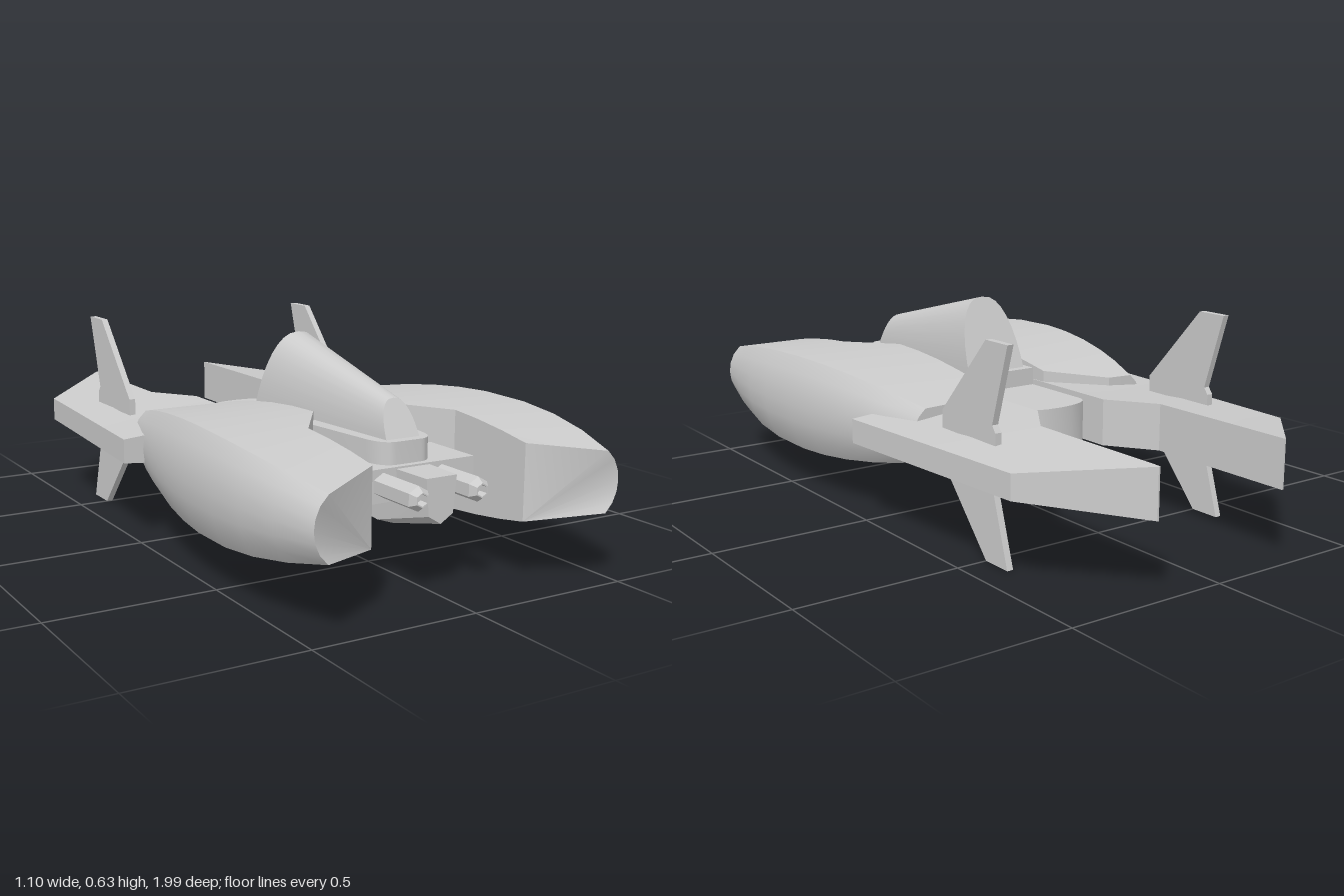
import * as THREE from 'three';
import { toCreasedNormals } from 'three/addons/utils/BufferGeometryUtils.js';

const material = new THREE.MeshStandardMaterial({ color: 0xcccccc });
const MID = 0.29; // height of the craft's centre plane

function add(parent, name, geometry, crease = 0.5) {
  const mesh = new THREE.Mesh(toCreasedNormals(geometry, crease), material);
  mesh.name = name;
  parent.add(mesh);
  return mesh;
}

// Skin a list of equal-length convex rings of [x, y, z] and cap both ends.
function loft(rings) {
  const n = rings[0].length;
  const points = rings.flat().map((p) => new THREE.Vector3(...p));
  const index = [];
  for (let i = 0; i < rings.length - 1; i++) {
    for (let j = 0; j < n; j++) {
      const a = i * n + j, b = i * n + (j + 1) % n;
      index.push(a, b, a + n, b, b + n, a + n);
    }
  }
  const last = (rings.length - 1) * n;
  for (let j = 1; j < n - 1; j++) {
    index.push(0, j + 1, j, last, last + j, last + j + 1);
  }
  // Turn the faces outward whichever way the rings run.
  let volume = 0;
  const cross = new THREE.Vector3();
  for (let k = 0; k < index.length; k += 3) {
    cross.crossVectors(points[index[k + 1]], points[index[k + 2]]);
    volume += points[index[k]].dot(cross);
  }
  if (volume < 0) index.reverse();
  const geometry = new THREE.BufferGeometry().setFromPoints(points);
  geometry.setIndex(index);
  return geometry.toNonIndexed();
}

// Extrude a plan outline of [x, z] between two heights.
function plate(shape, y0, y1) {
  const geometry = new THREE.ExtrudeGeometry(shape, { depth: y1 - y0, bevelEnabled: false, curveSegments: 8 });
  return geometry.rotateX(Math.PI / 2).translate(0, y1, 0);
}

// Bulging side pod: flat inside, rounded outside, swept front face.
function podGeometry(s) {
  const half = (z) => 0.153 - 0.2 * (z - 0.42) ** 2;
  const outerX = (z) => 0.55 - (z > 0.57 ? 0.34 : 0.2) * (z - 0.57) ** 2;
  const bulge = [[1, 0], [0.7, 0.58], [0.35, 0.9], [0, 1], [-0.35, 0.9], [-0.7, 0.58], [-1, 0]];
  // inner x, inner z, outer z
  const stations = [
    [0.25, 0.88, 0.99], [0.25, 0.78, 0.85], [0.25, 0.67, 0.71], [0.25, 0.57, 0.57], [0.13, 0.4, 0.4],
    [0.13, 0.28, 0.28], [0.13, 0.16, 0.16], [0.13, 0.04, 0.04], [0.13, -0.06, -0.06], [0.31, -0.175, -0.18],
  ];
  return loft(stations.map(([xi, zi, zo]) => {
    const xo = outerX(zo), round = 0.042;
    const rim = bulge.map(([h, out]) => [s * (xo - round * (1 - out)), MID + h * half(zo), zo]);
    return [[s * xi, MID - half(zi), zi], [s * xi, MID + half(zi), zi], ...rim];
  }));
}

// Rear wing, thinner toward its outer edge.
function wingGeometry(s) {
  const half = (x) => 0.072 - 0.035 * THREE.MathUtils.clamp((x - 0.225) / 0.27, 0, 1);
  // inner x, outer x, z
  const stations = [
    [0.125, 0.545, -0.01], [0.125, 0.521, -0.365], [0.225, 0.511, -0.51], [0.225, 0.496, -0.74], [0.225, 0.23, -1],
  ];
  return loft(stations.map(([xi, xo, z], i) => {
    const zo = i === 0 ? -0.01 : z;
    return [
      [s * xi, MID - half(xi), z], [s * xi, MID + half(xi), z],
      [s * xo, MID + half(xo), zo], [s * xo, MID - half(xo), zo],
    ];
  }));
}

// Upright fin from a side outline of [z, y].
function finGeometry(outline, x) {
  return loft([-0.01, 0.01].map((dx) => outline.map(([z, y]) => [x + dx, y, z])));
}

function createModel() {
  const model = new THREE.Group();
  model.name = 'spacecraft';

  // Fuselage: rounded rear hull, front block and canopy base
  const hull = new THREE.Shape();
  hull.moveTo(-0.125, 0.5).lineTo(0.125, 0.5).lineTo(0.125, -0.26);
  hull.bezierCurveTo(0.115, -0.335, -0.115, -0.335, -0.125, -0.26);
  add(model, 'rearHull', plate(hull, 0.22, 0.345));
  add(model, 'frontBlock', new THREE.BoxGeometry(0.42, 0.095, 0.51).translate(0, 0.288, 0.455));

  const base = new THREE.Shape();
  base.moveTo(-0.125, -0.01).lineTo(0.125, -0.01).lineTo(0.125, 0.36).lineTo(0.095, 0.62);
  base.quadraticCurveTo(0.085, 0.69, 0.04, 0.69).lineTo(-0.04, 0.69);
  base.quadraticCurveTo(-0.085, 0.69, -0.095, 0.62).lineTo(-0.125, 0.36);
  add(model, 'canopyBase', plate(base, 0.33, 0.4));

  // Canopy: two leaning arches joined
  const arch = (w, y0, y1, z0, z1) => {
    const ring = [];
    for (let i = 0; i <= 16; i++) {
      const a = (i / 16) * Math.PI, t = Math.sin(a) ** 0.9;
      const c = Math.cos(a);
      ring.push([w * Math.sign(c) * Math.abs(c) ** 0.8, y0 + (y1 - y0) * t, z0 + (z1 - z0) * t]);
    }
    return ring;
  };
  add(model, 'canopy', loft([arch(0.107, 0.38, 0.63, 0.01, 0.1), arch(0.056, 0.38, 0.505, 0.67, 0.61)]), 0.6);

  // Nose: keel-shaped wedge under the front block
  const keel = (w, wLow, yLow, yTip, z) =>
    [[-w, 0.33, z], [w, 0.33, z], [wLow, yLow, z], [0, yTip, z], [-wLow, yLow, z]];
  add(model, 'nose', loft([
    keel(0.05, 0.04, 0.225, 0.2, 0.84), keel(0.06, 0.053, 0.165, 0.147, 0.62), keel(0.06, 0.053, 0.18, 0.165, 0.4),
  ]), 0.2);

  // Belly turret
  const turret = [[0, 0.102], [0.065, 0.102], [0.082, 0.122], [0.105, 0.205], [0.085, 0.25], [0, 0.25]]
    .map(([r, y]) => new THREE.Vector2(r, y));
  add(model, 'bellyTurret', new THREE.LatheGeometry(turret, 16).translate(0, 0, 0.215));

  // Mirrored parts
  const upper = [[-0.285, 0.31], [-0.285, 0.39], [-0.5, 0.625], [-0.6, 0.625], [-0.53, 0.395], [-0.545, 0.375], [-0.545, 0.31]];
  const lower = [[-0.285, 0.27], [-0.285, 0.238], [-0.5, 0], [-0.6, 0], [-0.53, 0.225], [-0.545, 0.24], [-0.545, 0.27]];
  const barrel = [[0, 0.68], [0.035, 0.68], [0.035, 0.87], [0.021, 0.89], [0.017, 0.89], [0.017, 0.86], [0, 0.86]]
    .map(([r, y]) => new THREE.Vector2(r, y));
  for (const s of [1, -1]) {
    const side = new THREE.Group();
    side.name = s > 0 ? 'leftSide' : 'rightSide';
    model.add(side);
    add(side, 'sidePod', podGeometry(s));
    add(side, 'wing', wingGeometry(s), 0.2);
    add(side, 'upperFin', finGeometry(upper, s * 0.395), 0.2);
    add(side, 'lowerFin', finGeometry(lower, s * 0.395), 0.2);
    const gun = new THREE.LatheGeometry(barrel, 6).rotateX(Math.PI / 2).translate(s * 0.098, MID, 0);
    add(side, 'gunBarrel', gun, 0.2);
  }
  return model;
}

export { createModel };
